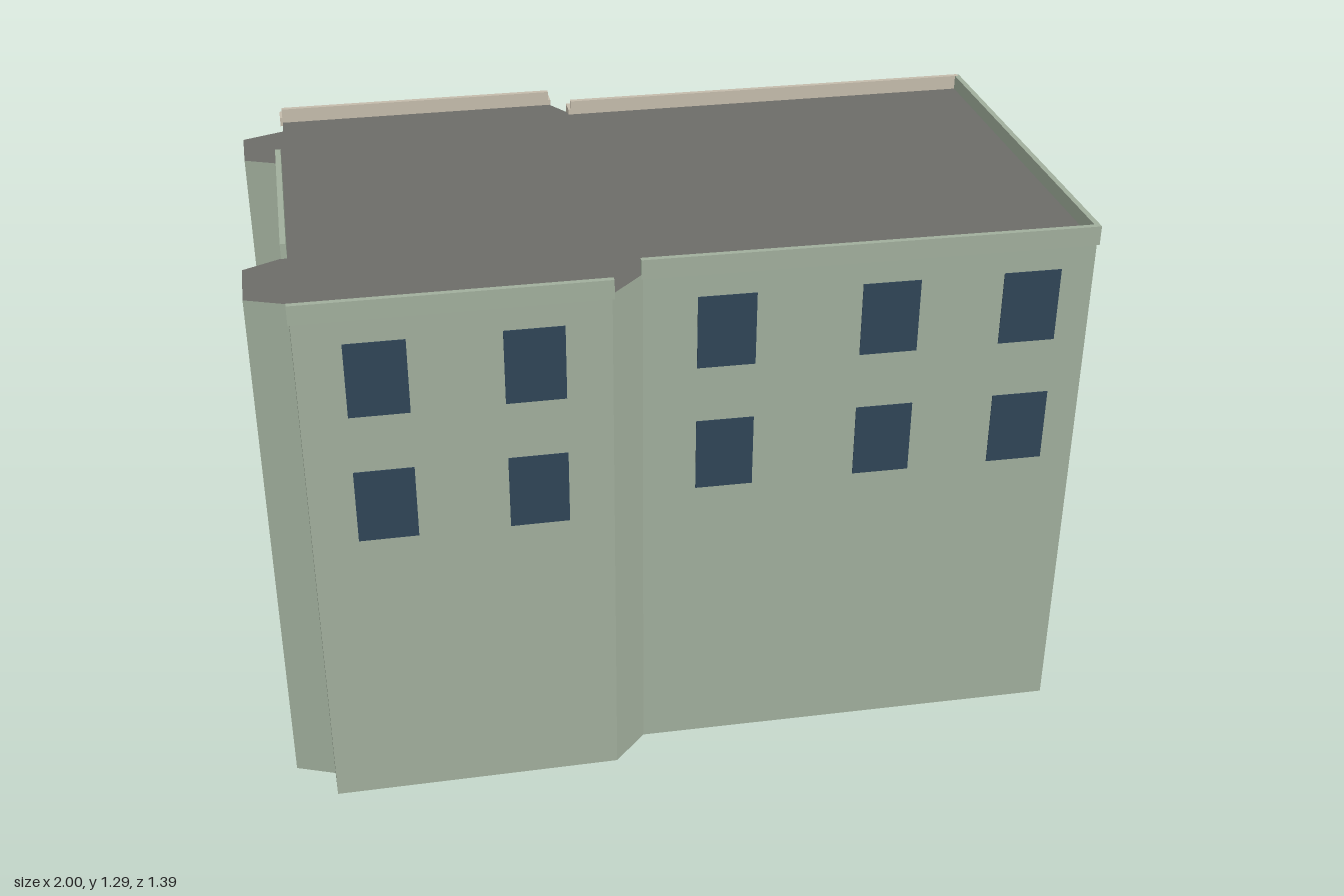
import * as THREE from 'three';

const mat = (color) => new THREE.MeshStandardMaterial({ color });
const wallMat = mat(0xa0ae9c), trimMat = mat(0xc4bbab), roofMat = mat(0x6c6c68);
const glassMat = mat(0x2f4456), paneMat = mat(0x5a6c7c), doorMat = mat(0x28413f);

const ROOF = 1.255, TOP = 1.29;
const ROWS = [0.478, 0.792, 1.103]; // window centre heights
const WIN_W = 0.132, WIN_H = 0.175;

// Outline in plan as [x, z], running along the back, right, front and left
const footprint = [
  [-0.92, -0.415], [-0.25, -0.53], [-0.19, -0.46], [0.83, -0.632], [0.99, 0.335],
  [-0.02, 0.49], [-0.085, 0.585], [-0.745, 0.695], [-0.76, 0.62], [-0.855, 0.6],
  [-0.88, 0.455], [-0.8, 0.395], [-0.89, -0.14], [-0.975, -0.16], [-1, -0.295], [-0.91, -0.35],
];

// Box spanning x0..x1, y0..y1, z0..z1 in the frame of a wall
function block(parent, name, material, x0, x1, y0, y1, z0, z1) {
  const mesh = new THREE.Mesh(new THREE.BoxGeometry(x1 - x0, y1 - y0, z1 - z0), material);
  mesh.position.set((x0 + x1) / 2, (y0 + y1) / 2, (z0 + z1) / 2);
  mesh.name = name;
  parent.add(mesh);
  return mesh;
}

// Group whose x runs along the wall from a to b and whose z points outwards
function wallFrame(parent, name, a, b) {
  const group = new THREE.Group();
  const dx = b[0] - a[0], dz = b[1] - a[1];
  group.name = name;
  group.position.set(a[0], 0, a[1]);
  group.rotation.y = Math.atan2(-dz, dx);
  group.userData.length = Math.hypot(dx, dz);
  parent.add(group);
  return group;
}

function plainWindows(wall, columns, rows) {
  for (const u of columns) for (const y of rows) {
    block(wall, 'plainWindow', glassMat, u - WIN_W / 2, u + WIN_W / 2,
      y - WIN_H / 2, y + WIN_H / 2, -0.005, 0.002);
  }
}

function parapet(wall) {
  block(wall, 'parapet', wallMat, -0.004, wall.userData.length + 0.004, 1.245, TOP, -0.008, 0.005);
}

// Sash window with surround, glazing bars and sill
function sashWindow(wall, u, y, z) {
  const g = new THREE.Group();
  g.name = 'sashWindow';
  g.position.set(u, y, z);
  wall.add(g);
  const w = 0.065, h = 0.088, f = 0.013;
  block(g, 'lowerSash', glassMat, -w, w, -h, 0, -0.005, 0.002);
  block(g, 'upperSash', paneMat, -w, w, 0, h, -0.005, 0.003);
  for (const s of [-1, 1]) {
    const x = s * (w + f / 2);
    block(g, 'jamb', trimMat, x - f / 2, x + f / 2, -h, h, -0.005, 0.01);
  }
  block(g, 'head', trimMat, -w - f, w + f, h, h + f, -0.005, 0.012);
  block(g, 'sill', trimMat, -w - 0.02, w + 0.02, -h - 0.014, -h, -0.005, 0.02);
  block(g, 'meetingRail', trimMat, -w, w, -0.004, 0.004, 0, 0.006);
  block(g, 'glazingBar', trimMat, -0.003, 0.003, -h, h, 0, 0.005);
}

// Shallow bay over the two upper storeys
const BAY_W = 0.22, BAY_D = 0.056;
function bay(wall, u) {
  const w = BAY_W / 2;
  block(wall, 'bay', wallMat, u - w, u + w, 0.64, 1.25, -0.01, BAY_D);
  block(wall, 'bayBand', trimMat, u - w, u + w, 0.94, 0.952, 0, BAY_D + 0.012);
  block(wall, 'bayCornice', trimMat, u - w + 0.005, u + w - 0.005, 1.25, 1.265, 0, BAY_D + 0.016);
  for (const y of ROWS.slice(1)) sashWindow(wall, u, y, BAY_D);
}

function facade(wall, bays, flats, doorU) {
  const len = wall.userData.length;
  for (const u of bays) bay(wall, u);
  for (const u of flats) for (const y of ROWS.slice(1)) sashWindow(wall, u, y, 0);
  for (const u of [...bays, ...flats]) sashWindow(wall, u, ROWS[0], 0);

  // Entrance door with its step
  block(wall, 'door', doorMat, doorU - 0.05, doorU + 0.05, 0.215, 0.455, -0.005, 0.004);
  block(wall, 'doorstep', trimMat, doorU - 0.07, doorU + 0.06, 0.195, 0.215, -0.005, 0.04);

  // String course, stepped cornice and coping
  block(wall, 'stringCourse', trimMat, 0, len, 0.622, 0.637, -0.005, 0.012);
  block(wall, 'corniceBed', trimMat, 0, len, 1.228, 1.246, -0.005, 0.02);
  block(wall, 'cornice', trimMat, -0.006, len + 0.006, 1.246, 1.268, -0.005, 0.04);
  block(wall, 'coping', trimMat, 0, len, 1.268, TOP, -0.005, 0.008);

  // Brackets under the cornice between the bays
  const count = Math.round(len / 0.075);
  for (let i = 0; i < count; i++) {
    const u = (i + 0.5) * len / count;
    if (bays.some((b) => Math.abs(b - u) < BAY_W / 2 + 0.008)) continue;
    block(wall, 'bracket', trimMat, u - 0.008, u + 0.008, 1.208, 1.246, -0.005, 0.032);
  }
}

export function createModel() {
  const model = new THREE.Group();
  model.name = 'terraceBuilding';

  // Main body: caps in roof colour, sides in wall colour
  const outline = new THREE.Shape(footprint.map(([x, z]) => new THREE.Vector2(x, -z)));
  const geometry = new THREE.ExtrudeGeometry(outline, { depth: ROOF, bevelEnabled: false });
  geometry.rotateX(-Math.PI / 2);
  const body = new THREE.Mesh(geometry, [roofMat, wallMat]);
  body.name = 'buildingBody';
  model.add(body);

  const p = footprint;
  const upper = ROWS.slice(1);

  // Plain walls
  const frontLong = wallFrame(model, 'frontWallLong', p[5], p[4]);
  plainWindows(frontLong, [0.187, 0.557, 0.88], upper);
  const frontShort = wallFrame(model, 'frontWallShort', p[7], p[6]);
  plainWindows(frontShort, [0.167, 0.502], upper);
  const leftSide = wallFrame(model, 'leftWall', p[4], p[3]);
  plainWindows(leftSide, [0.142, 0.457, 0.8], ROWS);
  const rightSide = wallFrame(model, 'rightWall', p[12], p[11]);
  plainWindows(rightSide, [0.225], ROWS);
  for (const wall of [frontLong, frontShort, leftSide, rightSide]) parapet(wall);

  // Decorated street walls at the back
  facade(wallFrame(model, 'streetWallLong', p[3], p[2]), [0.18, 0.855], [0.505], 0.93);
  facade(wallFrame(model, 'streetWallShort', p[1], p[0]), [0.515], [0.17], 0.595);

  return model;
}
